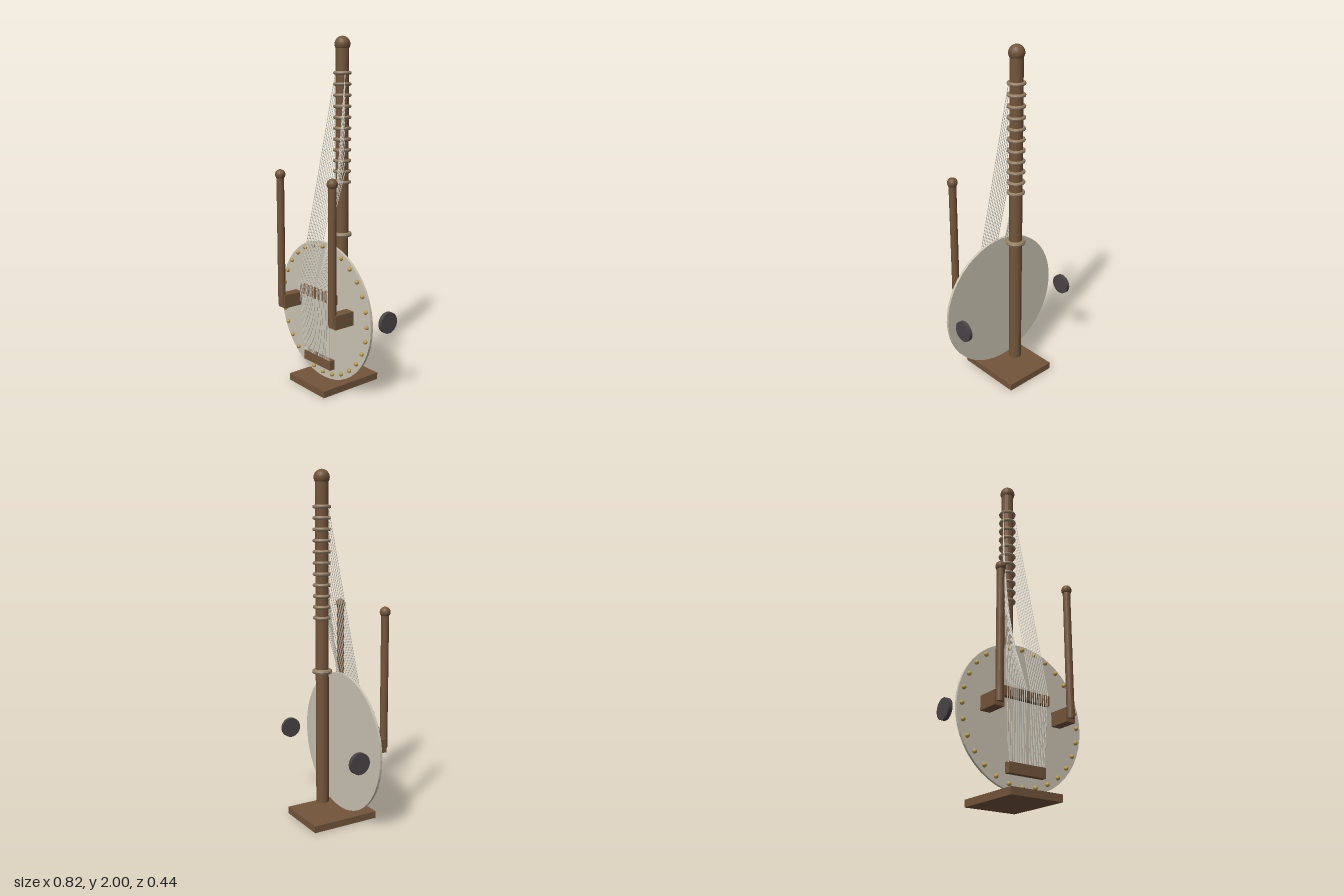
import * as THREE from 'three';

const mat = (name, color) => {
  const m = new THREE.MeshStandardMaterial({ color, flatShading: true });
  m.name = name;
  return m;
};

export function createModel() {
  const root = new THREE.Group();
  root.name = 'harpLute';
  const wood = mat('brown wood', 0x72553a);
  const skin = mat('pale hide', 0xcac3b1);
  const cord = mat('tan cord', 0x947f65);
  const brass = mat('brass', 0xb79a48);
  const dark = mat('dark grey', 0x4a4345);
  const wire = mat('pale string', 0xd6d2c6);

  const add = (name, geo, material, x, y, z) => {
    const mesh = new THREE.Mesh(geo, material);
    mesh.name = name;
    mesh.position.set(x, y, z);
    root.add(mesh);
  };
  const box = (name, w, h, d, x, y, z) => add(name, new THREE.BoxGeometry(w, h, d), wood, x, y, z);

  // Foot plate
  box('base', 0.326, 0.04, 0.41, 0, 0.02, -0.015);

  // Neck with its knob
  const neckZ = -0.077;
  add('neck', new THREE.CylinderGeometry(0.037, 0.037, 1.85, 24), wood, 0, 1.03, neckZ);
  add('neckKnob', new THREE.SphereGeometry(0.044, 24, 16), wood, 0, 1.956, neckZ);

  // Tuning rings and the lower collar
  const ringY = (i) => 1.8 - i * 0.061;
  const ringGeo = new THREE.TorusGeometry(0.042, 0.01, 8, 28).rotateX(Math.PI / 2);
  for (let i = 0; i < 11; i++) add('tuningRing', ringGeo, cord, 0, ringY(i), neckZ);
  add('neckCollar', new THREE.TorusGeometry(0.043, 0.0145, 8, 28).rotateX(Math.PI / 2), cord, 0, 0.884, neckZ);

  // Round sound table edged with studs
  const table = new THREE.CylinderGeometry(0.408, 0.408, 0.015, 48).rotateX(Math.PI / 2);
  add('soundTable', table, skin, 0, 0.449, 0.0535);
  const studGeo = new THREE.SphereGeometry(0.0125, 12, 8);
  for (let i = 0; i < 28; i++) {
    const a = (i / 28) * Math.PI * 2;
    add('stud', studGeo, brass, Math.sin(a) * 0.379, 0.453 + Math.cos(a) * 0.379, 0.066);
  }

  // Hand posts on their blocks, and the side discs
  for (const s of [-1, 1]) {
    box('handBlock', 0.06, 0.08, 0.138, s * 0.235, 0.473, 0.12);
    add('handPost', new THREE.CylinderGeometry(0.022, 0.022, 0.775, 20), wood, s * 0.235, 0.841, 0.188);
    add('handKnob', new THREE.SphereGeometry(0.03, 20, 14), wood, s * 0.235, 1.23, 0.188);
    const disc = new THREE.CylinderGeometry(0.06, 0.06, 0.023, 28).rotateZ(Math.PI / 2);
    add('sideDisc', disc, dark, s * 0.393, 0.453, -0.078);
  }

  // Bridge and tailpiece
  box('bridge', 0.304, 0.055, 0.03, 0, 0.555, 0.098);
  box('tailpiece', 0.238, 0.057, 0.033, 0, 0.156, 0.094);

  // Strings: neck ring to bridge, then bridge to tailpiece
  const segment = (a, b) =>
    add('string', new THREE.TubeGeometry(new THREE.LineCurve3(a, b), 1, 0.0022, 6), wire, 0, 0, 0);
  for (const [s, count] of [[-1, 11], [1, 10]]) {
    for (let i = 0; i < count; i++) {
      const x = 0.015 + (count - 1 - i) * 0.0127;
      const top = new THREE.Vector3(s * 0.043, ringY(i), -0.062);
      const mid = new THREE.Vector3(s * x, 0.587, 0.125);
      const end = new THREE.Vector3(s * x * 0.84, 0.18, 0.108);
      segment(top, mid);
      segment(mid, end);
    }
  }
  return root;
}
